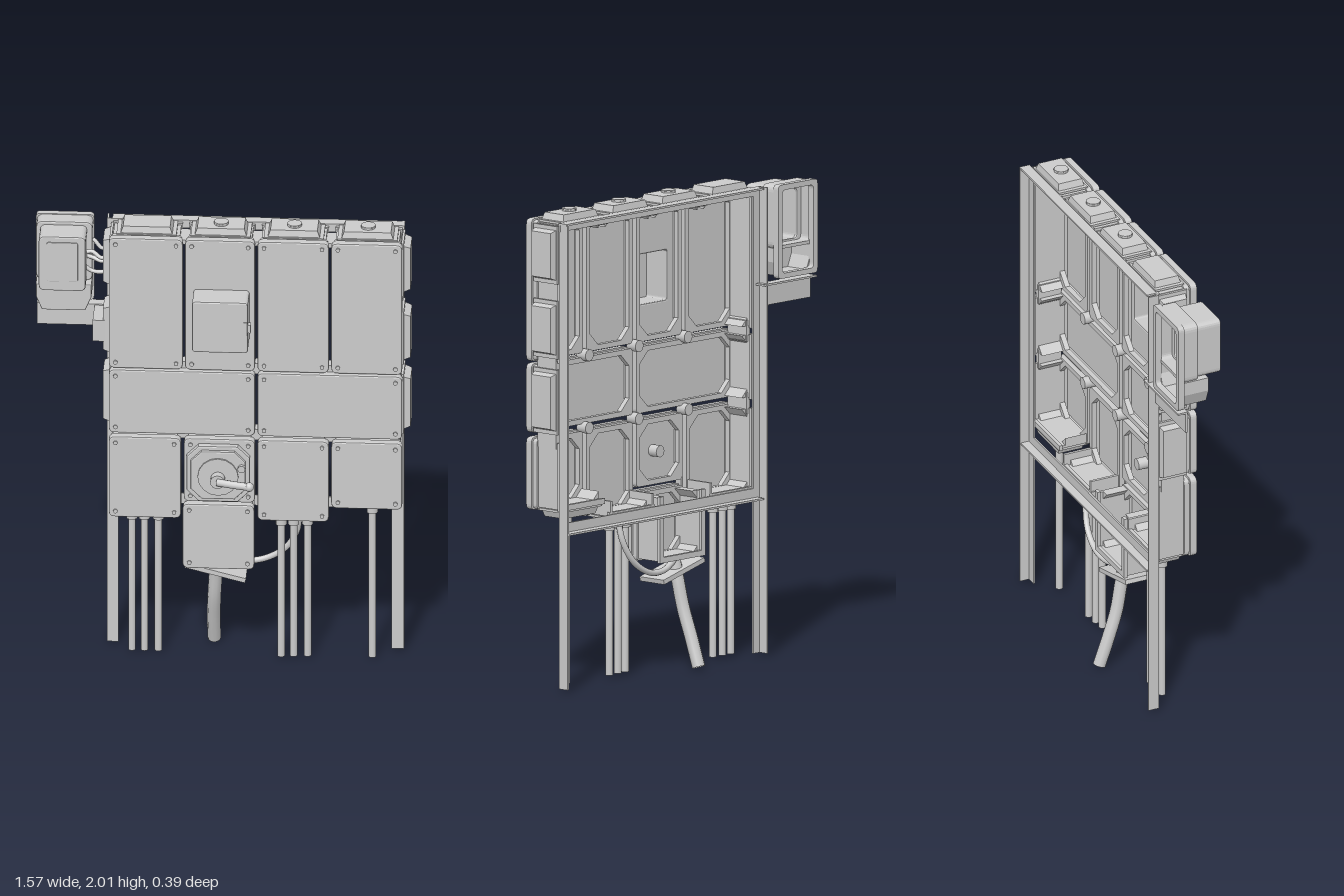
import * as THREE from 'three';

const material = new THREE.MeshStandardMaterial({ color: 0xcccccc, side: THREE.DoubleSide });

export function createModel() {
  const root = new THREE.Group();

  function add(name, geometry, x = 0, y = 0, z = 0) {
    const mesh = new THREE.Mesh(geometry, material);
    mesh.name = name;
    mesh.position.set(x, y, z);
    root.add(mesh);
    return mesh;
  }
  const box = (name, x0, x1, y0, y1, z0, z1) =>
    add(name, new THREE.BoxGeometry(x1 - x0, y1 - y0, z1 - z0), (x0 + x1) / 2, (y0 + y1) / 2, (z0 + z1) / 2);

  // Rectangle with rounded or chamfered corners
  function rect(x0, x1, y0, y1, r, chamfer = false) {
    const s = new THREE.Shape();
    const corner = (cx, cy, x, y) => (chamfer ? s.lineTo(x, y) : s.quadraticCurveTo(cx, cy, x, y));
    s.moveTo(x0 + r, y0);
    s.lineTo(x1 - r, y0); corner(x1, y0, x1, y0 + r);
    s.lineTo(x1, y1 - r); corner(x1, y1, x1 - r, y1);
    s.lineTo(x0 + r, y1); corner(x0, y1, x0, y1 - r);
    s.lineTo(x0, y0 + r); corner(x0, y0, x0 + r, y0);
    return s;
  }
  function slab(name, shape, z0, z1, holes = [], bevel = 0) {
    shape.holes = holes;
    const g = new THREE.ExtrudeGeometry(shape, {
      depth: z1 - z0 - 2 * bevel, curveSegments: 5, bevelEnabled: bevel > 0,
      bevelThickness: bevel, bevelSize: bevel, bevelOffset: -bevel, bevelSegments: 2,
    });
    return add(name, g, 0, 0, z0 + bevel);
  }
  // Cover with a closed front and an open back
  function tray(name, x0, x1, y0, y1, z0, z1, r, t, holes = [], bevel = 0.006) {
    slab(name + 'Front', rect(x0, x1, y0, y1, r), z1 - 0.015, z1, holes, bevel);
    slab(name + 'Walls', rect(x0, x1, y0, y1, r), z0, z1 - 0.008, [rect(x0 + t, x1 - t, y0 + t, y1 - t, r * 0.7)]);
  }
  const tube = (name, pts, r, n = 24) =>
    add(name, new THREE.TubeGeometry(new THREE.CatmullRomCurve3(pts.map((p) => new THREE.Vector3(...p))), n, r, 10));
  function disc(name, r, h, x, y, z, axis = 'z') {
    const g = new THREE.CylinderGeometry(r, r, h, 16);
    if (axis === 'z') g.rotateX(Math.PI / 2);
    return add(name, g, x, y, z);
  }

  // Cabinet walls and their tapered gland plates
  const BACK = -0.105, FRONT = 0.035, INSET = 0.015, T = 0.012;
  function wall(b, side) {
    const x0 = b[0] + INSET, x1 = b[1] - INSET, y0 = b[2] + INSET, y1 = b[3] - INSET;
    const r = { l: [x0, x0 + T, y0, y1], r: [x1 - T, x1, y0, y1], b: [x0, x1, y0, y0 + T], t: [x0, x1, y1 - T, y1] }[side];
    box('cabinetWall', ...r, BACK, FRONT);
    // lip along the open back edge
    const e = 0.006;
    box('wallLip', r[0] - e, r[1] + e, r[2] - e, r[3] + e, BACK, BACK + 0.015);
    // corner gussets at both ends
    for (const end of [0, 1]) {
      const vertical = side === 'l' || side === 'r';
      const cx = vertical ? (side === 'l' ? x0 : x1) : end ? x1 : x0;
      const cy = vertical ? (end ? y1 : y0) : side === 'b' ? y0 : y1;
      const dx = cx === x0 ? 0.045 : -0.045, dy = cy === y0 ? 0.045 : -0.045;
      const s = new THREE.Shape([[0, 0], [dx, 0], [0, dy]].map(([a, c]) => new THREE.Vector2(cx + a, cy + c)));
      slab('cornerGusset', s, BACK + 0.03, FRONT);
    }
  }
  function glandPlate(side, edge, centre, length) {
    const g = new THREE.BoxGeometry(length, 0.042, 0.125);
    const p = g.attributes.position;
    for (let i = 0; i < p.count; i++) {
      if (p.getY(i) > 0) p.setXYZ(i, p.getX(i) * (1 - 0.03 / length), p.getY(i), p.getZ(i) * 0.86);
    }
    const turn = { t: 0, l: Math.PI / 2, b: Math.PI, r: -Math.PI / 2 }[side];
    g.rotateZ(turn);
    g.computeVertexNormals();
    const off = edge + (side === 't' || side === 'r' ? 0.006 : -0.006);
    const flat = side === 't' || side === 'b';
    add('glandPlate', g.toNonIndexed(), flat ? centre : off, flat ? off : centre, -0.035);
    // rim where the plate meets the wall
    const m = off + (side === 't' || side === 'r' ? -0.012 : 0.012), h = length / 2 + 0.012;
    if (flat) box('plateRim', centre - h, centre + h, m - 0.005, m + 0.005, -0.1, 0.033);
    else box('plateRim', m - 0.005, m + 0.005, centre - h, centre + h, -0.1, 0.033);
  }

  // Cabinets: x0, x1, y0, y1, outer walls
  const cabinets = [
    [-0.475, -0.167, 1.36, 1.962, 'tl'], [-0.158, 0.133, 1.36, 1.962, 't'],
    [0.143, 0.44, 1.36, 1.962, 't'], [0.45, 0.745, 1.36, 1.962, 'tr'],
    [-0.475, 0.133, 1.06, 1.352, 'l'], [0.143, 0.745, 1.06, 1.352, 'r'],
    [-0.475, -0.175, 0.67, 1.042, 'lb'], [-0.163, 0.133, 0.75, 1.042, ''],
    [0.143, 0.44, 0.67, 1.042, 'b'], [0.45, 0.745, 0.735, 1.042, 'rb'],
    [-0.168, 0.13, 0.44, 0.738, 'lrb'],
  ];
  const hood = [-0.122, 0.11, 1.5, 1.735];
  cabinets.forEach((b, i) => {
    const [x0, x1, y0, y1, sides] = b;
    const holes = i === 1 ? [rect(hood[0] + 0.012, hood[1] - 0.012, hood[2] + 0.012, hood[3] - 0.012, 0.01)] : [];
    tray('lid', x0, x1, y0, y1, 0.048, 0.08, 0.025, 0.012, holes);
    slab('lidFrame', rect(x0 + 0.006, x1 - 0.006, y0 + 0.006, y1 - 0.006, 0.02), 0.022, 0.045,
      [rect(x0 + 0.028, x1 - 0.028, y0 + 0.028, y1 - 0.028, 0.05, true)]);
    for (const x of [x0 + 0.028, x1 - 0.028]) {
      for (const y of [y0 + 0.028, y1 - 0.028]) disc('lidScrew', 0.009, 0.012, x, y, 0.08);
    }
    for (const s of sides) {
      wall(b, s);
      if (s === 't') glandPlate('t', y1, (x0 + x1) / 2, 0.225);
      if (s === 'b' && i < 10) glandPlate('b', y0, (x0 + x1) / 2, 0.225);
    }
  });
  for (const [s, e] of [['l', -0.475], ['r', 0.75]]) {
    glandPlate(s, e, 1.825, 0.22);
    glandPlate(s, e, 1.51, 0.22);
    glandPlate(s, e, 1.205, 0.25);
  }

  // Short inner walls where neighbouring cabinets differ in height
  box('stepWall', -0.2, -0.188, 0.685, 0.75, BACK, FRONT);
  box('stepWall', 0.158, 0.17, 0.685, 0.75, BACK, FRONT);
  box('stepWall', 0.413, 0.425, 0.685, 0.75, BACK, FRONT);

  // Couplings bridging the gaps along the rim, and round ones inside
  for (const x of [-0.163, 0.138, 0.445]) box('rimCoupling', x - 0.035, x + 0.035, 1.915, 1.935, -0.08, 0.025);
  for (const x of [-0.45, 0.72]) {
    for (const y of [1.356, 1.05]) box('rimCoupling', x - 0.012, x + 0.012, y - 0.045, y + 0.045, -0.08, 0.025);
  }
  for (const [x, y] of [[-0.163, 1.356], [0.138, 1.356], [0.445, 1.356], [-0.168, 1.05], [0.138, 1.05], [0.445, 1.05]]) {
    disc('innerCoupling', 0.025, 0.05, x, y, 0.02);
  }

  // Round plugs on the top plates
  for (const x of [-0.013, 0.292, 0.598]) {
    disc('topPlug', 0.03, 0.02, x, 1.99, -0.03, 'y');
    const ring = add('plugRing', new THREE.TorusGeometry(0.027, 0.004, 6, 20), x, 1.996, -0.03);
    ring.rotation.x = Math.PI / 2;
  }

  // Hood with latch
  tray('hood', ...hood, 0.07, 0.197, 0.015, 0.012, [], 0.007);
  box('hoodLatch', 0.092, 0.108, 1.585, 1.645, 0.19, 0.2);
  box('hoodHinge', 0.105, 0.122, 1.595, 1.63, 0.165, 0.195);

  // Rotary switch
  slab('switchPlate', rect(-0.15, 0.113, 0.766, 1.022, 0.05, true), 0.078, 0.108, [], 0.006);
  slab('switchFace', rect(-0.132, 0.095, 0.784, 1.004, 0.045, true), 0.1, 0.122, [], 0.006);
  disc('switchDisc', 0.085, 0.012, -0.018, 0.89, 0.124);
  disc('switchHub', 0.03, 0.045, -0.018, 0.885, 0.145);
  tube('switchLever', [[-0.02, 0.885, 0.165], [0.04, 0.882, 0.178], [0.11, 0.875, 0.182]], 0.016);
  add('leverKnob', new THREE.SphereGeometry(0.02, 12, 8), 0.115, 0.875, 0.182);
  disc('switchLock', 0.016, 0.025, 0.08, 0.932, 0.125);
  disc('switchShaft', 0.025, 0.05, -0.018, 0.89, 0.045);

  // Angle iron frame
  for (const [x0, x1, ox] of [[-0.492, -0.445, -0.492], [0.69, 0.742, 0.734]]) {
    box('rail', x0, x1, 0, 1.962, -0.113, -0.105);
    box('railSide', ox, ox + 0.008, 0, 1.962, -0.153, -0.105);
  }
  box('topBar', -0.47, 0.745, 1.954, 1.962, -0.15, -0.105);
  box('topBarFront', -0.47, 0.745, 1.925, 1.962, -0.113, -0.105);
  box('bottomBar', -0.47, 0.742, 0.648, 0.656, -0.15, -0.105);
  box('bottomBarFront', -0.47, 0.742, 0.65, 0.695, -0.113, -0.105);

  // Side meter on its bracket
  tray('meterBase', -0.785, -0.55, 1.69, 1.96, -0.135, -0.065, 0.03, 0.012,
    [rect(-0.75, -0.585, 1.71, 1.92, 0.02)]);
  tray('meterBody', -0.768, -0.573, 1.695, 1.945, -0.075, 0.048, 0.025, 0.012);
  slab('meterWindow', rect(-0.735, -0.605, 1.74, 1.92, 0.01), 0.045, 0.052, [], 0.002);
  const outline = (k) => new THREE.Shape([[-0.115, 0.06], [0.115, 0.06], [0.115, 0], [0.09, -0.06], [-0.09, -0.06], [-0.115, 0]]
    .map(([x, y]) => new THREE.Vector2(-0.668 + x * k, 1.635 + y * k)));
  slab('terminalCover', outline(1), -0.03, -0.015, [], 0.005);
  slab('terminalWalls', outline(1), -0.135, -0.022, [outline(0.88)]);
  slab('meterFlange', rect(-0.79, -0.547, 1.568, 1.963, 0.02), -0.16, -0.132, [rect(-0.765, -0.572, 1.59, 1.94, 0.02)]);
  box('bracket', -0.785, -0.5, 1.46, 1.557, -0.125, -0.115);
  box('bracketShelf', -0.785, -0.46, 1.549, 1.557, -0.16, -0.115);
  box('bracketClamp', -0.545, -0.495, 1.455, 1.552, -0.115, 0.025);
  [[1.78, -0.02], [1.81, -0.06], [1.84, -0.03], [1.86, -0.08]].forEach(([y, z], i) => {
    tube('meterWire', [[-0.58, y, z], [-0.55, y - 0.02 + i * 0.012, z], [-0.51, y - 0.02, z + 0.01], [-0.47, y - 0.01, z]], 0.009, 14);
  });

  // Cables hanging from the lower cabinets
  for (const [x, z, top] of [[-0.385, -0.04, 0.66], [-0.333, -0.04, 0.66], [-0.275, -0.04, 0.66],
    [0.237, -0.015, 0.66], [0.288, -0.02, 0.66], [0.346, -0.025, 0.66], [0.615, -0.03, 0.72]]) {
    disc('cable', 0.0155, top, x, top / 2, z, 'y');
    disc('cableGland', 0.023, 0.03, x, top - 0.035, z, 'y');
  }
  tube('mainCable', [[-0.035, 0.45, -0.04], [-0.038, 0.36, -0.06], [-0.045, 0.24, -0.085], [-0.05, 0.12, -0.125], [-0.05, 0, -0.167]], 0.028, 30);
  tube('loopCable', [[0.31, 0.66, -0.04], [0.3, 0.56, -0.06], [0.25, 0.47, -0.075], [0.16, 0.415, -0.08], [0.06, 0.41, -0.07], [-0.04, 0.45, -0.05]], 0.013, 36);
  const hatch = box('bottomHatch', -0.165, 0.095, 0.388, 0.408, -0.1, 0.035);
  hatch.rotation.z = -0.25;

  return root;
}
